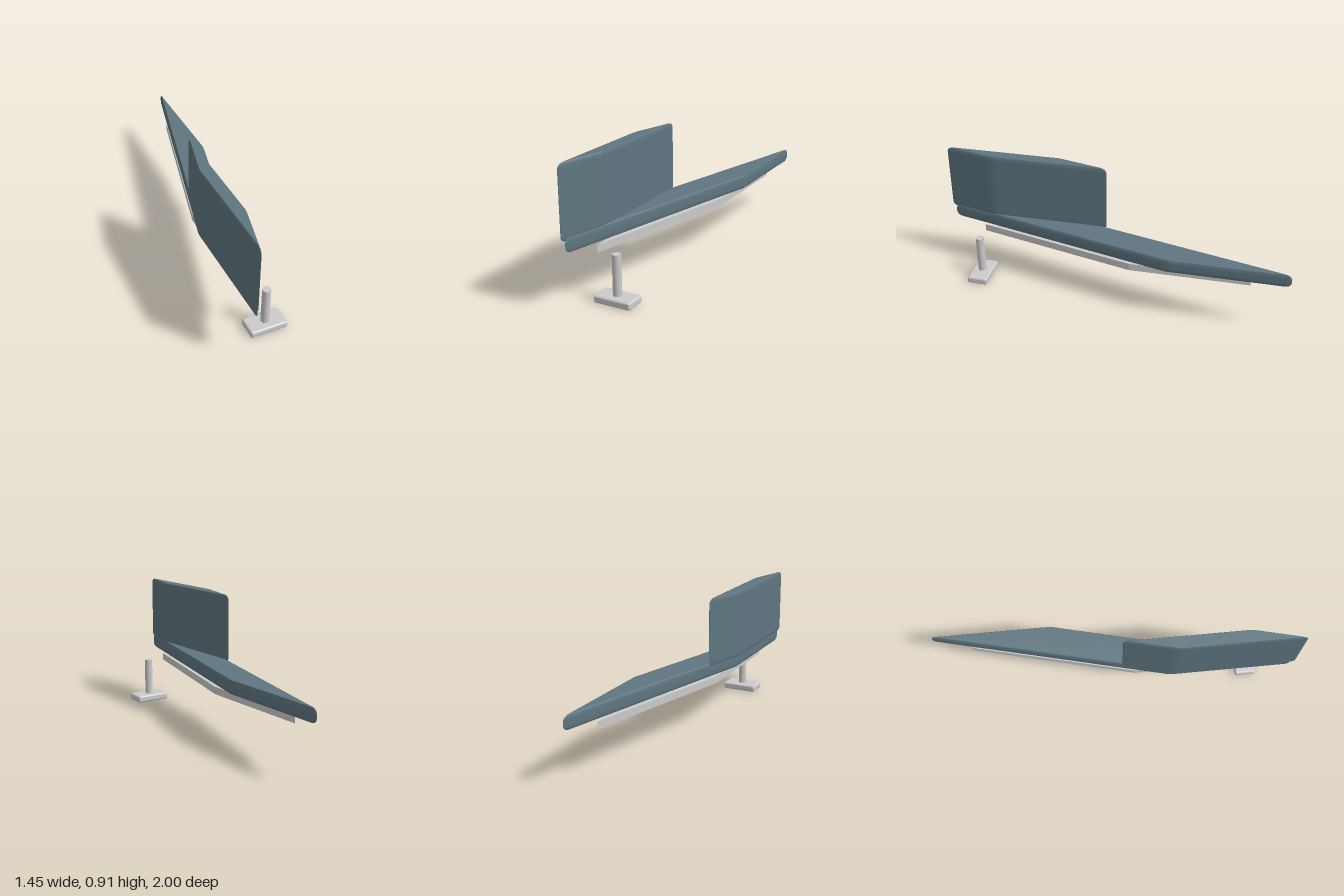
import * as THREE from 'three';
import { RoundedBoxGeometry } from 'three/addons/geometries/RoundedBoxGeometry.js';

const fabric = new THREE.MeshStandardMaterial({ color: 0x5f7680 });
const grey = new THREE.MeshStandardMaterial({ color: 0xcccccc });

// Slanted plan directions shared by the cushions and the base plate
const LONG = new THREE.Vector3(0.649, 0, -0.761);
const SHORT = new THREE.Vector3(-0.447, 0, 0.894);
const UP = new THREE.Vector3(0, 1, 0);

// Box skewed to a parallelogram plan, standing between y0 and y1
function skewedBox(name, material, long, short, y0, y1, x, z, radius) {
  const h = y1 - y0;
  const geometry = radius
    ? new RoundedBoxGeometry(long, h, short, 5, radius)
    : new THREE.BoxGeometry(long, h, short);
  geometry.applyMatrix4(new THREE.Matrix4().makeBasis(LONG, UP, SHORT));
  const mesh = new THREE.Mesh(geometry, material);
  mesh.name = name;
  mesh.position.set(x, (y0 + y1) / 2, z);
  return mesh;
}

export function createModel() {
  const model = new THREE.Group();
  model.name = 'skewedSofa';

  // Upholstery and base plate
  model.add(
    skewedBox('seatCushion', fabric, 1.666, 0.836, 0.363, 0.457, 0.008, -0.01, 0.036),
    skewedBox('backrest', fabric, 0.375, 0.836, 0.436, 0.907, -0.432, 0.5, 0.036),
    skewedBox('basePlate', grey, 1.141, 0.812, 0.298, 0.348, 0, 0, 0)
  );

  // Single leg: post on a turned, rounded foot
  const leg = new THREE.Group();
  leg.name = 'leg';
  leg.position.set(-0.432, 0, 0.855);
  leg.rotation.y = -0.47;
  const foot = new THREE.Mesh(new RoundedBoxGeometry(0.254, 0.05, 0.144, 4, 0.014), grey);
  foot.name = 'foot';
  foot.position.y = 0.026;
  const post = new THREE.Mesh(new THREE.CylinderGeometry(0.028, 0.028, 0.27, 32), grey);
  post.name = 'post';
  post.position.y = 0.18;
  leg.add(foot, post);
  model.add(leg);

  return model;
}
